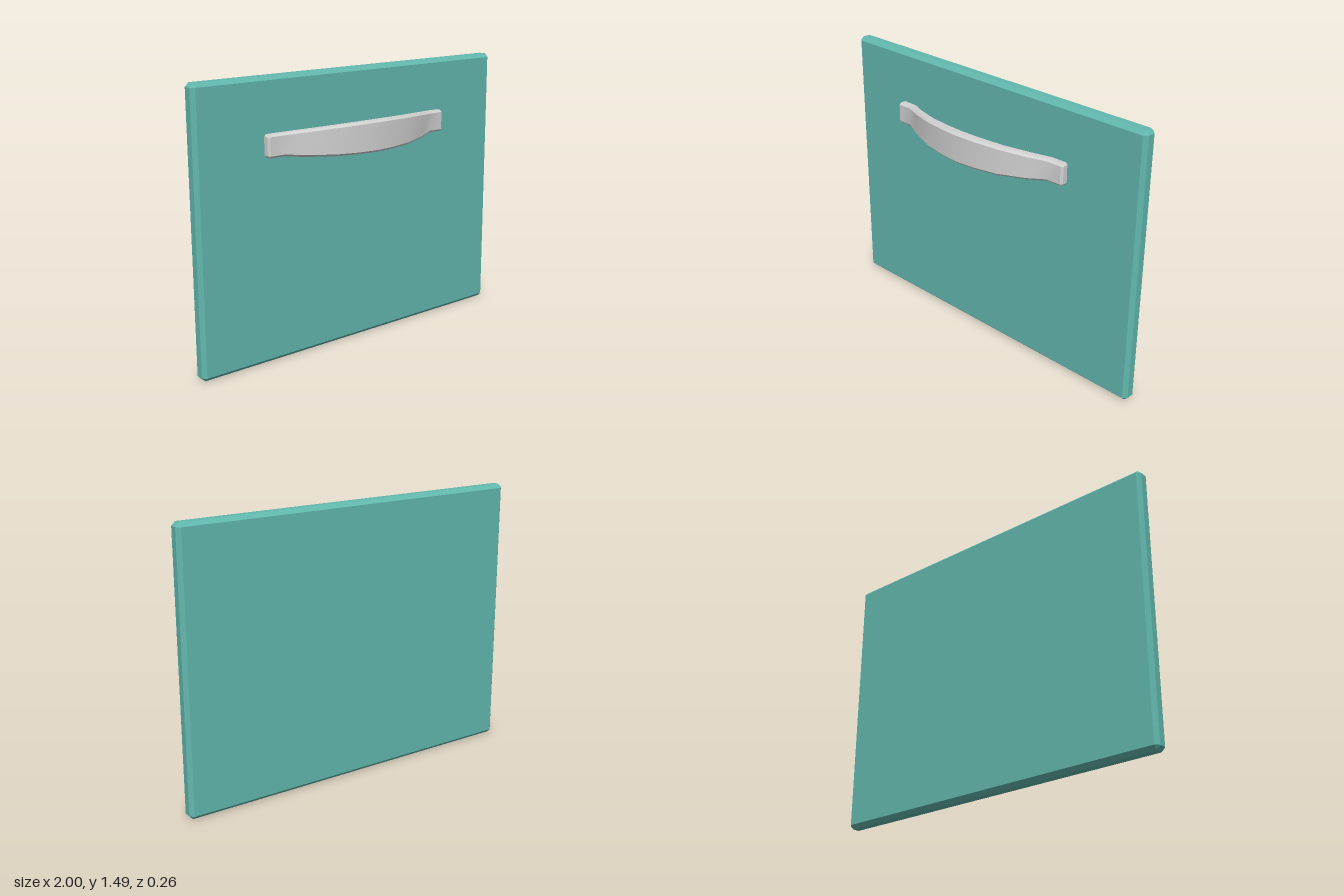
import * as THREE from 'three';
import { toCreasedNormals } from 'three/addons/utils/BufferGeometryUtils.js';
import { ConvexGeometry } from 'three/addons/geometries/ConvexGeometry.js';

// Box with a flat chamfer c on every edge; a, b, d are half sizes
function chamferBox(a, b, d, c) {
  const points = [];
  for (const x of [-1, 1]) for (const y of [-1, 1]) for (const z of [-1, 1]) {
    points.push(
      new THREE.Vector3(x * a, y * (b - c), z * (d - c)),
      new THREE.Vector3(x * (a - c), y * b, z * (d - c)),
      new THREE.Vector3(x * (a - c), y * (b - c), z * d)
    );
  }
  return new ConvexGeometry(points);
}

// Bowed bar: chamfered cross-sections swept along x, taller where it bows out
function bowedBar() {
  const c = 0.011;
  // x, front z, thickness, inset of the section
  const half = [
    [-0.592, 0.004, 0.05, c], [-0.582, 0.004, 0.05, 0], [-0.495, 0.004, 0.05, 0],
    [-0.4, 0.05, 0.052, 0], [-0.25, 0.1, 0.053, 0], [-0.115, 0.122, 0.055, 0]
  ];
  const stations = [...half, [0, 0.13, 0.056, 0],
    ...half.map(([x, ...rest]) => [-x, ...rest]).reverse()];
  const pos = [], index = [], n = 8;
  for (const [x, front, thick, inset] of stations) {
    const h = 0.059 + 0.024 * Math.max(0, front - 0.004) / 0.126 - inset;
    const d = thick / 2 - inset, zc = front - thick / 2, k = inset ? c * 0.4 : c;
    const ring = [[h, -d + k], [h, d - k], [h - k, d], [-h + k, d],
      [-h, d - k], [-h, -d + k], [-h + k, -d], [h - k, -d]];
    for (const [y, z] of ring) pos.push(x, y, zc + z);
  }
  const last = (stations.length - 1) * n;
  for (let r = 0; r < last; r += n) for (let j = 0; j < n; j++) {
    const a = r + j, b = r + (j + 1) % n;
    index.push(a, b, a + n, b, b + n, a + n);
  }
  for (let j = 1; j < n - 1; j++) {
    index.push(0, j + 1, j, last, last + j, last + j + 1);
  }
  const geo = new THREE.BufferGeometry();
  geo.setAttribute('position', new THREE.Float32BufferAttribute(pos, 3));
  geo.setIndex(index);
  return toCreasedNormals(geo, 0.5);
}

export function createModel() {
  const teal = new THREE.MeshStandardMaterial({ name: 'teal paint', color: 0x62b8ae });
  const grey = new THREE.MeshStandardMaterial({ name: 'light grey metal', color: 0xd2d2d2 });
  const group = new THREE.Group();
  group.name = 'drawerFront';

  // Front panel
  const panel = new THREE.Mesh(chamferBox(1, 0.743, 0.04, 0.02), teal);
  panel.name = 'panel';
  panel.position.set(0, 0.743, -0.091);

  // Pull handle
  const handle = new THREE.Mesh(bowedBar(), grey);
  handle.name = 'handle';
  handle.position.set(-0.023, 1.148, 0);

  group.add(panel, handle);
  return group;
}
